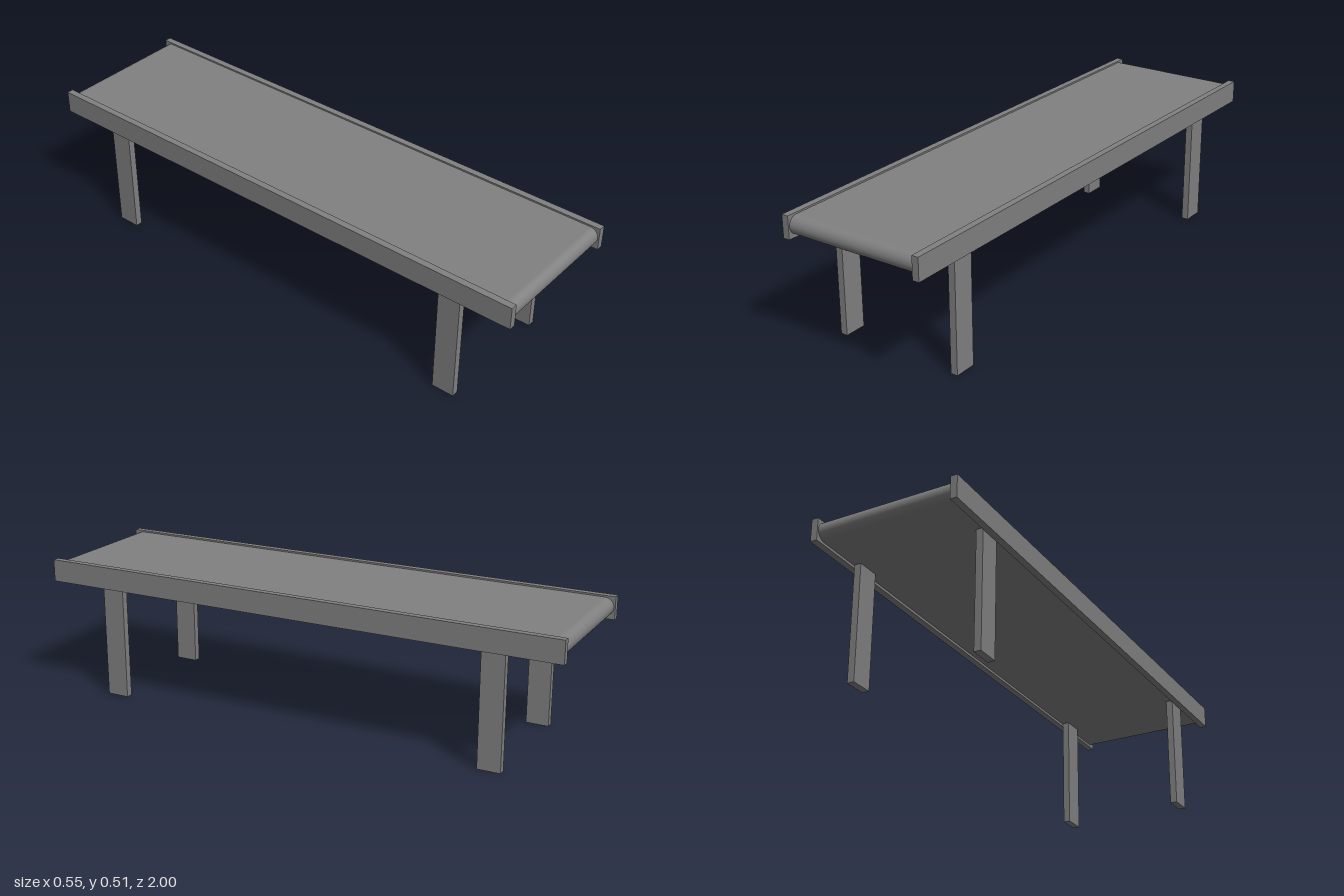
import * as THREE from 'three';

export function createModel() {
  const model = new THREE.Group();
  model.name = 'conveyorTable';
  const grey = new THREE.MeshStandardMaterial({ color: 0x808080 });
  grey.name = 'grey';

  function add(name, geometry, x, y, z) {
    const mesh = new THREE.Mesh(geometry, grey);
    mesh.name = name;
    mesh.position.set(x, y, z);
    model.add(mesh);
  }

  // belt: a long rounded-end loop, extruded across the width
  const radius = 0.0335, reach = 0.995 - radius, width = 0.503;
  const loop = new THREE.Shape();
  loop.moveTo(-reach, -radius);
  loop.lineTo(reach, -radius);
  loop.absarc(reach, 0, radius, -Math.PI / 2, Math.PI / 2, false);
  loop.lineTo(-reach, radius);
  loop.absarc(-reach, 0, radius, Math.PI / 2, Math.PI * 1.5, false);
  const belt = new THREE.ExtrudeGeometry(loop, { depth: width, bevelEnabled: false, curveSegments: 16 });
  belt.translate(0, 0, -width / 2);
  belt.rotateY(Math.PI / 2);

  // smooth normals around the rounded ends, flat on the two sides
  const p = belt.attributes.position, n = belt.attributes.normal;
  for (let i = 0; i < p.count; i++) {
    if (Math.abs(n.getX(i)) > 0.5) continue;
    const z = p.getZ(i), dz = Math.sign(z) * Math.max(0, Math.abs(z) - reach);
    const v = new THREE.Vector3(0, p.getY(i), dz).normalize();
    n.setXYZ(i, v.x, v.y, v.z);
  }
  add('belt', belt, 0, 0.4675, 0);

  // side rails and legs, mirrored
  for (const side of [1, -1]) {
    const label = side > 0 ? 'left' : 'right';
    add(label + 'Rail', new THREE.BoxGeometry(0.025, 0.083, 2), side * 0.263, 0.4655, 0);
    for (const end of [1, -1]) {
      add(label + (end > 0 ? 'FrontLeg' : 'BackLeg'),
        new THREE.BoxGeometry(0.026, 0.436, 0.085), side * 0.235, 0.218, end * 0.7525);
    }
  }
  return model;
}
